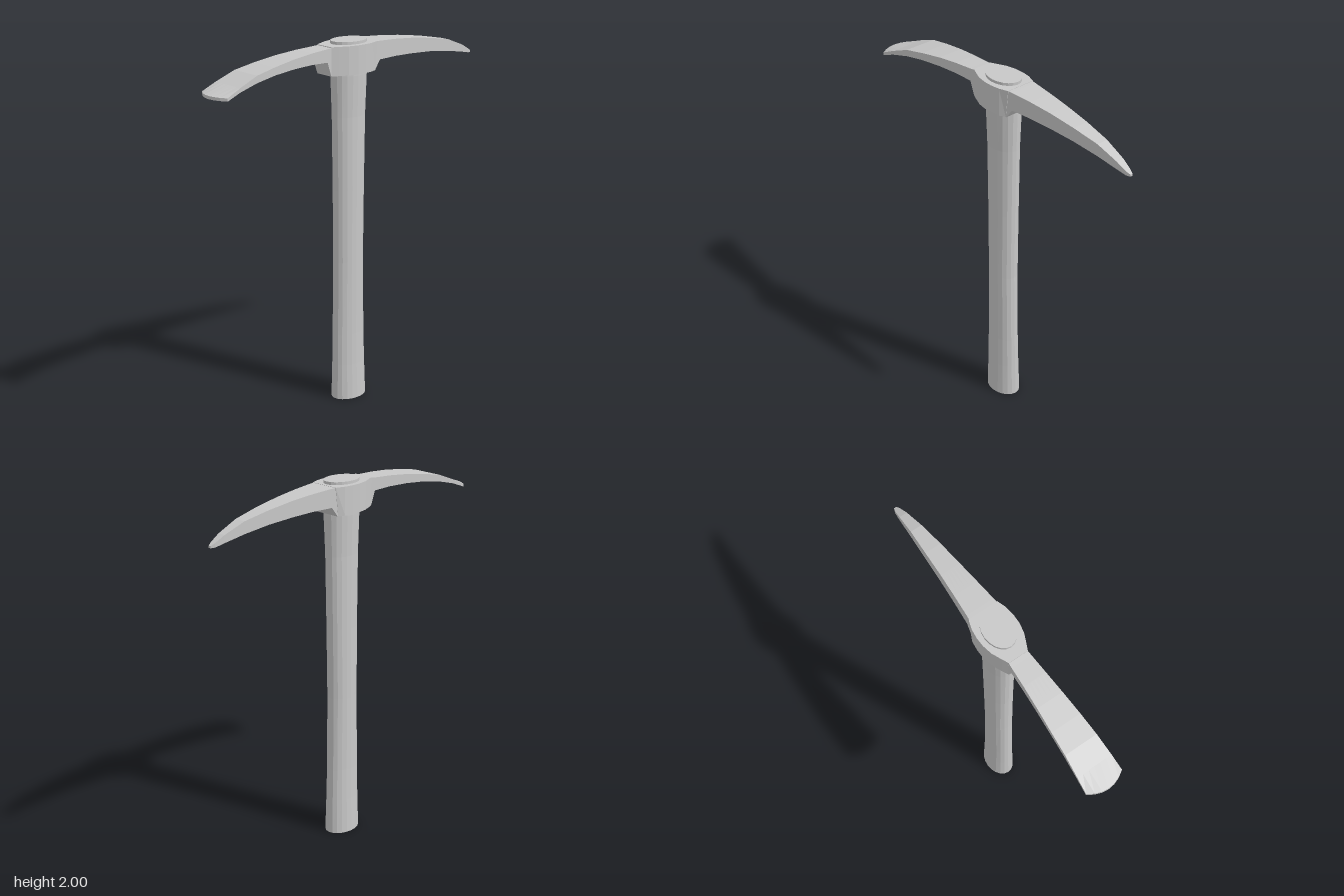
import * as THREE from 'three';

const steel = new THREE.MeshStandardMaterial({ color: 0xc8c8c8, flatShading: true });
steel.name = 'plain grey';

// Handle stations: [y, half width in x, half depth in z, z centre]
const HANDLE = [
  [0, 0.078, 0.105, 0.003], [0.2, 0.071, 0.1, 0.004], [0.38, 0.068, 0.096, 0.005],
  [0.8, 0.068, 0.09, 0.005], [1.2, 0.069, 0.093, 0.003], [1.6, 0.071, 0.099, 0.002],
  [1.82, 0.079, 0.106, 0.001], [2, 0.078, 0.107, 0.001],
];

// Blade stations, back to front: [z, half width, top y, bottom y]
const ADZE = [
  [0.06, 0.05, 1.984, 1.834], [0.168, 0.055, 1.981, 1.838], [0.192, 0.057, 1.979, 1.91],
  [0.3, 0.064, 1.973, 1.914], [0.42, 0.073, 1.961, 1.911], [0.55, 0.083, 1.941, 1.9],
  [0.67, 0.091, 1.917, 1.88], [0.78, 0.099, 1.873, 1.851], [0.86, 0.104, 1.836, 1.82],
];
const PICK = [
  [-0.897, 0.007, 1.826, 1.815], [-0.875, 0.015, 1.838, 1.816], [-0.82, 0.022, 1.868, 1.828],
  [-0.7, 0.032, 1.914, 1.85], [-0.55, 0.045, 1.943, 1.87], [-0.4, 0.056, 1.964, 1.88],
  [-0.27, 0.067, 1.976, 1.885], [-0.148, 0.078, 1.983, 1.884], [-0.11, 0.082, 1.984, 1.832],
  [-0.05, 0.06, 1.984, 1.834],
];

function moveVertices(geometry, rule) {
  const pos = geometry.attributes.position;
  const v = new THREE.Vector3();
  for (let i = 0; i < pos.count; i++) {
    rule(v.fromBufferAttribute(pos, i));
    pos.setXYZ(i, v.x, v.y, v.z);
  }
  geometry.computeVertexNormals();
  return geometry;
}

function addPart(parent, name, geometry) {
  const mesh = new THREE.Mesh(geometry, steel);
  mesh.name = name;
  parent.add(mesh);
}

// Rectangular bar that follows the stations; bulge rounds its front edge
function blade(stations, bulge = 0) {
  const n = stations.length - 1;
  return moveVertices(new THREE.BoxGeometry(2, 1, 1, 6, 1, n), (p) => {
    const i = Math.round((p.z + 0.5) * n);
    const [z, w, top, bottom] = stations[i];
    const round = i === n ? bulge * (1 - p.x * p.x) : 0;
    p.set(p.x * w, p.y > 0 ? top : bottom, z + round);
  });
}

// Oval shaft with flared ends
function handle() {
  const n = HANDLE.length - 1;
  return moveVertices(new THREE.CylinderGeometry(1, 1, 1, 20, n), (p) => {
    const [y, rx, rz, cz] = HANDLE[Math.round((p.y + 0.5) * n)];
    p.set(p.x * rx, y, p.z * rz + cz);
  });
}

// Eye of the head: a swollen outline extruded upward
function collar() {
  const side = [[0.055, 0.166], [0.072, 0.13], [0.094, 0.08], [0.105, 0.025],
    [0.106, -0.025], [0.1, -0.075], [0.083, -0.125]];
  const outline = [...side, ...side.map(([x, z]) => [-x, z]).reverse()];
  const shape = new THREE.Shape(outline.map(([x, z]) => new THREE.Vector2(x, -z)));
  const g = new THREE.ExtrudeGeometry(shape, { depth: 0.151, bevelEnabled: false });
  g.rotateX(-Math.PI / 2).translate(0, 1.834, 0);
  // Draw the lower back edge inward
  return moveVertices(g, (p) => {
    if (p.y < 1.9 && p.z < -0.1) p.z = -0.108;
  });
}

export function createModel() {
  const model = new THREE.Group();
  model.name = 'pickaxe';
  const head = new THREE.Group();
  head.name = 'head';
  addPart(model, 'handle', handle());
  addPart(head, 'collar', collar());
  addPart(head, 'adzeBlade', blade(ADZE, 0.038));
  addPart(head, 'pickSpike', blade(PICK));
  model.add(head);
  return model;
}
